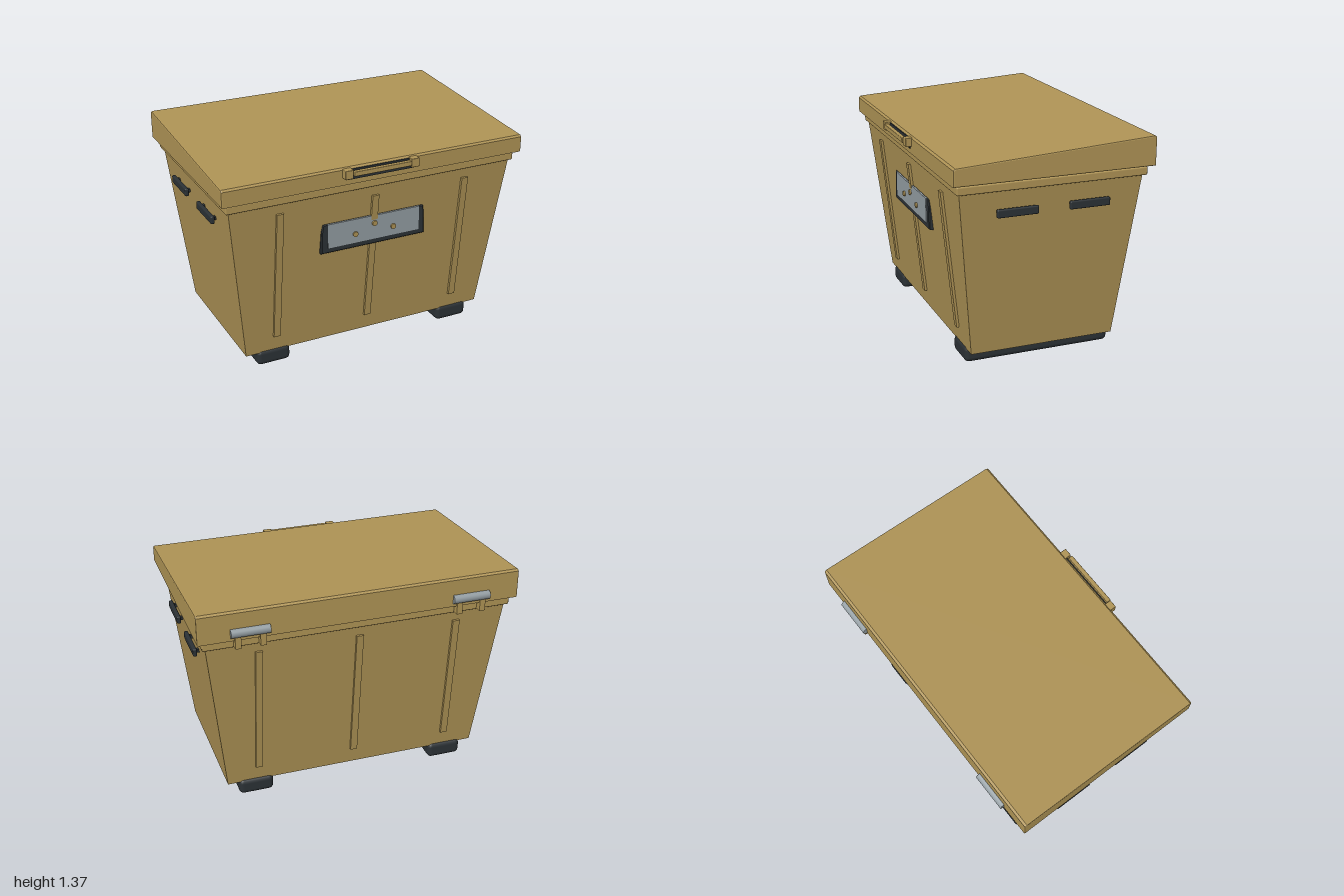
import * as THREE from 'three';
import { RoundedBoxGeometry } from 'three/addons/geometries/RoundedBoxGeometry.js';

const tan = new THREE.MeshStandardMaterial({ color: 0xae9355 });
const dark = new THREE.MeshStandardMaterial({ color: 0x2b3135 });
const steel = new THREE.MeshStandardMaterial({ color: 0x929ca1 });

// Wall depth at height y: the tub tapers towards the floor
const frontZ = (y) => 0.455 + (y - 0.09) * 0.107;
const backZ = (y) => -0.465 - (y - 0.09) * 0.107;
const sideX = (y) => 0.825 + (y - 0.09) * 0.115;

export function createModel() {
  const model = new THREE.Group();
  model.name = 'coolBox';

  const add = (name, geometry, material, x = 0, y = 0, z = 0) => {
    const mesh = new THREE.Mesh(geometry, material);
    mesh.name = name;
    mesh.position.set(x, y, z);
    model.add(mesh);
    return mesh;
  };
  // Box given by its limits; r rounds the edges
  const block = (name, material, [x0, x1], [y0, y1], [z0, z1], r = 0) => {
    const size = [x1 - x0, y1 - y0, z1 - z0];
    const geometry = r ? new RoundedBoxGeometry(...size, 2, r) : new THREE.BoxGeometry(...size);
    return add(name, geometry, material, (x0 + x1) / 2, (y0 + y1) / 2, (z0 + z1) / 2);
  };
  // Side profile in (z, y), extruded across x with a small bevel
  const acrossX = (name, material, points, width, x = 0, bevel = 0) => {
    const shape = new THREE.Shape(points.map(([z, y]) => new THREE.Vector2(-z, y)));
    const geometry = new THREE.ExtrudeGeometry(shape, {
      depth: width - 2 * bevel, bevelEnabled: bevel > 0, bevelSize: bevel,
      bevelThickness: bevel, bevelOffset: -bevel, bevelSegments: 2,
    });
    geometry.translate(0, 0, -width / 2 + bevel);
    geometry.rotateY(Math.PI / 2);
    return add(name, geometry, material, x);
  };

  // Tapered tub
  const tub = new THREE.BoxGeometry(2, 1, 2);
  const p = tub.attributes.position;
  for (let i = 0; i < p.count; i++) {
    const y = p.getY(i) > 0 ? 1.14 : 0.09;
    p.setXYZ(i, Math.sign(p.getX(i)) * sideX(y), y, p.getZ(i) > 0 ? frontZ(y) : backZ(y));
  }
  tub.computeVertexNormals();
  add('tub', tub, tan);

  // Rim, seal and sloping lid
  block('rim', tan, [-0.965, 0.965], [1.126, 1.176], [-0.6, 0.585], 0.008);
  block('seal', dark, [-0.93, 0.93], [1.17, 1.2], [-0.57, 0.555]);
  acrossX('lid', tan, [
    [0.617, 1.187], [0.617, 1.285], [0.605, 1.296],
    [-0.62, 1.37], [-0.635, 1.36], [-0.635, 1.187],
  ], 2, 0, 0.008);

  // Ribs that follow the front and back walls
  for (const x of [-0.625, 0, 0.625]) {
    for (const [name, wall, out] of [['frontRib', frontZ, 1], ['backRib', backZ, -1]]) {
      const [lo, hi] = [0.195, 1.06];
      const points = [
        [wall(lo) - out * 0.01, lo], [wall(lo) + out * 0.016, lo],
        [wall(hi) + out * 0.016, hi], [wall(hi) - out * 0.01, hi],
      ];
      acrossX(name, tan, out > 0 ? points : points.reverse(), 0.044, x);
    }
  }

  // Front plate in its dark frame, with three bolts
  const frame = new THREE.Shape([
    [-0.355, 0.73], [0.355, 0.73], [0.352, 0.87], [0.343, 0.923], [-0.343, 0.923], [-0.352, 0.87],
  ].map(([x, y]) => new THREE.Vector2(x, y)));
  add('plateFrame', new THREE.ExtrudeGeometry(frame, {
    depth: 0.035, bevelSize: 0.006, bevelThickness: 0.006, bevelOffset: -0.006, bevelSegments: 1,
  }), dark, 0, 0, 0.51);
  block('plate', steel, [-0.312, 0.312], [0.765, 0.922], [0.53, 0.557]);
  for (const [x, y] of [[-0.13, 0.825], [0, 0.872], [0.13, 0.825]]) {
    const bolt = add('bolt', new THREE.CylinderGeometry(0.017, 0.017, 0.02, 16), tan, x, y, 0.557);
    bolt.rotation.x = Math.PI / 2;
  }

  // Lid handle
  block('latchBacking', dark, [-0.225, 0.225], [1.22, 1.285], [0.6, 0.624]);
  block('latchBar', tan, [-0.19, 0.19], [1.25, 1.28], [0.634, 0.662], 0.004);

  for (const s of [-1, 1]) {
    const span = (a, b) => (s > 0 ? [a, b] : [-b, -a]);
    block('latchBlock', tan, span(0.193, 0.247), [1.235, 1.29], [0.6, 0.655], 0.004);

    // Side grips on short posts
    for (const [z0, z1] of [[0.09, 0.345], [-0.36, -0.105]]) {
      block('sideGrip', dark, span(0.946, 0.971), [0.97, 1.02], [z0, z1], 0.008);
      for (const z of [z0 + 0.035, z1 - 0.035]) {
        block('gripPost', dark, span(0.9, 0.95), [0.985, 1.005], [z - 0.012, z + 0.012]);
      }
    }

    // Runner feet
    block('foot', dark, span(0.53, 0.752), [0, 0.105], [-0.48, 0.465], 0.03);

    // Hinge with two tabs
    const hx = s * 0.688;
    const pin = add('hingePin', new THREE.CylinderGeometry(0.028, 0.028, 0.235, 20), steel, hx, 1.235, -0.634);
    pin.rotation.z = Math.PI / 2;
    for (const dx of [-0.075, 0.075]) {
      block('hingeTab', tan, [hx + dx - 0.018, hx + dx + 0.018], [1.135, 1.225], [-0.645, -0.59]);
    }
  }
  return model;
}
